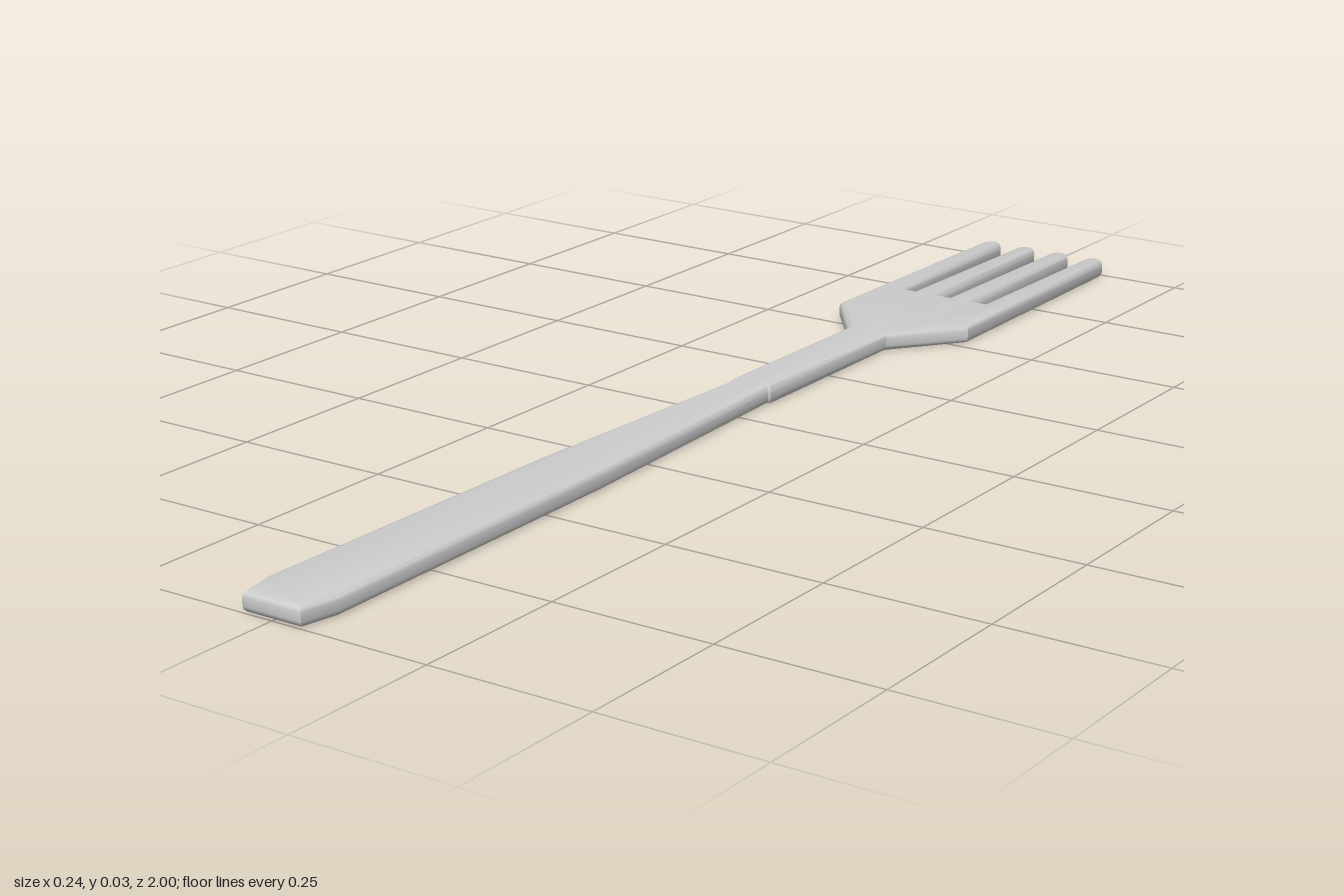
import * as THREE from 'three';
import { toCreasedNormals } from 'three/addons/utils/BufferGeometryUtils.js';

const THICKNESS = 0.03, BEVEL = 0.009, SLOT_END = 0.65;

// Rounded tine end running from the outer edge to the inner edge
function tineTip(outer, inner) {
  const r = (outer - inner) / 2, points = [];
  for (let i = 0; i <= 8; i++) {
    const a = (i / 8) * Math.PI;
    points.push([inner + r + r * Math.cos(a), 1 - r + r * Math.sin(a)]);
  }
  return points;
}

// One half of the outline, from the handle end to the middle slot
function halfOutline() {
  return [
    [0.049, -1], [0.061, -0.94], [0.054, -0.38], [0.032, 0.075], // handle
    [0.037, 0.075], [0.036, 0.41],                               // neck
    [0.122, 0.52], ...tineTip(0.117, 0.083),                     // head and outer tine
    [0.079, SLOT_END], [0.056, SLOT_END],                        // side slot
    ...tineTip(0.05, 0.016), [0.0115, SLOT_END],                 // inner tine
  ];
}

export function createModel() {
  const group = new THREE.Group();
  group.name = 'fork';

  const half = halfOutline();
  const mirrored = half.map(([x, y]) => [-x, y]).reverse();
  const shape = new THREE.Shape([...half, ...mirrored].map(([x, y]) => new THREE.Vector2(x, y)));

  // Flat plate with rounded rims, laid down with the tines toward the back
  const geometry = new THREE.ExtrudeGeometry(shape, {
    depth: THICKNESS - 2 * BEVEL,
    bevelThickness: BEVEL,
    bevelSize: BEVEL,
    bevelOffset: -BEVEL,
    bevelSegments: 3,
  });
  geometry.translate(0, 0, BEVEL).rotateX(-Math.PI / 2);

  const body = new THREE.Mesh(
    toCreasedNormals(geometry, 0.6),
    new THREE.MeshStandardMaterial({ color: 0xcccccc })
  );
  body.name = 'forkBody';
  group.add(body);
  return group;
}
